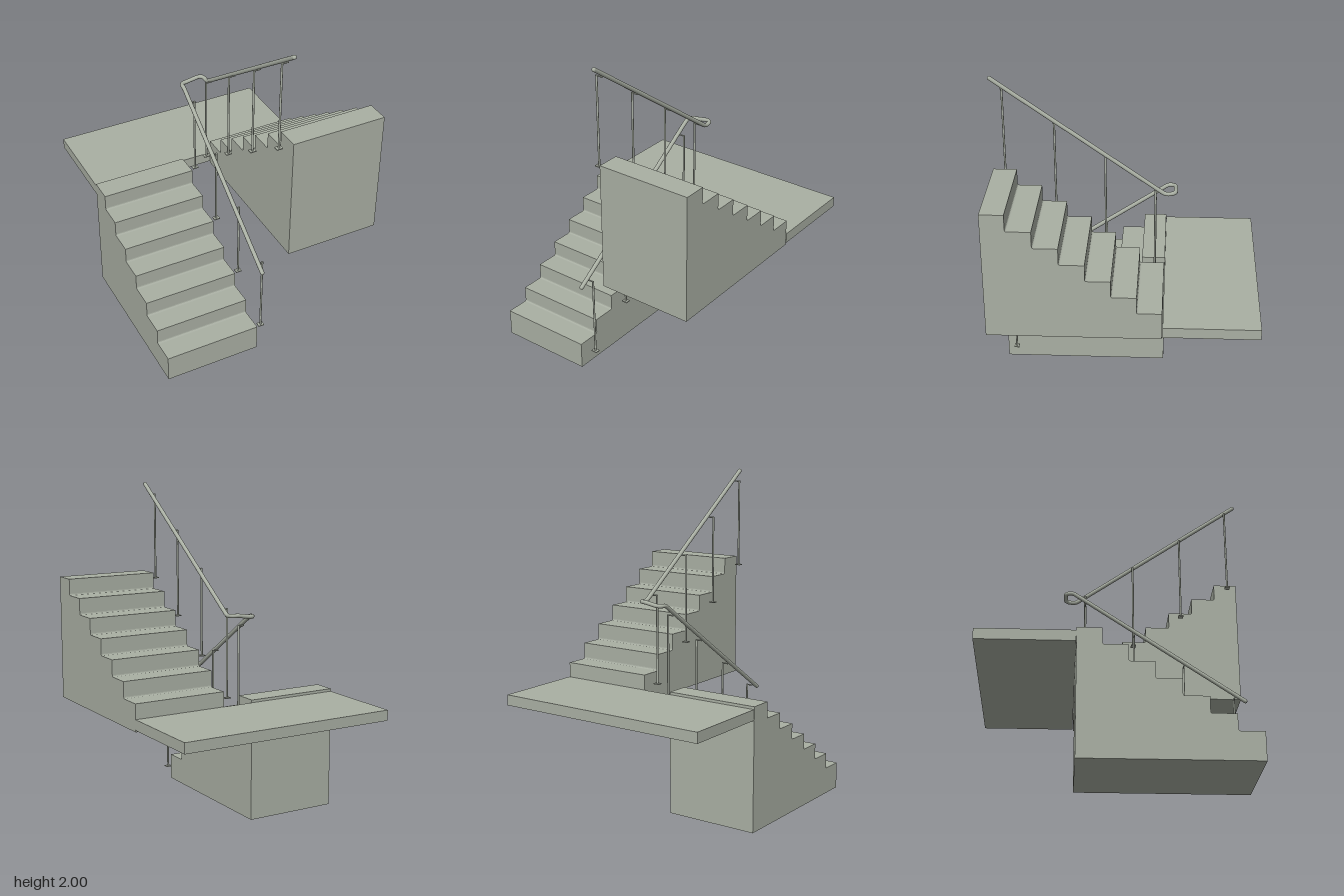
import * as THREE from 'three';

const concrete = new THREE.MeshStandardMaterial({ color: 0xa9afa3 });
concrete.name = 'concrete grey';

function add(parent, name, geometry, x = 0, y = 0, z = 0) {
  const mesh = new THREE.Mesh(geometry, concrete);
  mesh.name = name;
  mesh.position.set(x, y, z);
  parent.add(mesh);
  return mesh;
}

// Solid flight: stepped side profile (z, y) extruded across its width.
// dir is the z direction in which the flight climbs.
function flightGeometry({ zStart, zEnd, base, firstTop, rise, run, steps, dir, width }) {
  const cove = 0.01;
  const shape = new THREE.Shape();
  shape.moveTo(zStart, base);
  for (let i = 0; i < steps; i++) {
    const z = zStart + dir * run * i;
    const y = firstTop + rise * i;
    shape.lineTo(z, y);
    if (i < steps - 1) {
      // small cove where the tread meets the next riser
      const next = z + dir * run;
      shape.lineTo(next - dir * cove, y);
      shape.quadraticCurveTo(next, y, next, y + cove);
    }
  }
  shape.lineTo(zEnd, firstTop + rise * (steps - 1));
  shape.lineTo(zEnd, base);
  const geometry = new THREE.ExtrudeGeometry(shape, { depth: width, bevelEnabled: false, curveSegments: 3 });
  geometry.rotateY(-Math.PI / 2);
  return geometry;
}

// Baluster: foot plate, upright and a short arm reaching under the rail
function baluster(x, z, bottom, top, railX) {
  const post = new THREE.Group();
  post.name = 'baluster';
  add(post, 'footPlate', new THREE.BoxGeometry(0.037, 0.006, 0.03), x, bottom, z);
  add(post, 'upright', new THREE.CylinderGeometry(0.0062, 0.0062, top - bottom, 12), x, (top + bottom) / 2, z);
  const arm = new THREE.CylinderGeometry(0.0045, 0.0045, Math.abs(railX - x) + 0.006, 10);
  arm.rotateZ(Math.PI / 2);
  add(post, 'railArm', arm, (x + railX) / 2, top - 0.003, z);
  return post;
}

export function createModel() {
  const model = new THREE.Group();
  model.name = 'staircase';

  // Flights and landing
  add(model, 'lowerFlight', flightGeometry({
    zStart: 0.775, zEnd: -0.23, base: 0, firstTop: 0.165, rise: 0.0977,
    run: 0.144, steps: 7, dir: -1, width: 0.585,
  }), -0.098);
  add(model, 'upperFlight', flightGeometry({
    zStart: -0.227, zEnd: 0.777, base: 0.66, firstTop: 0.826, rise: 0.101,
    run: 0.1443, steps: 7, dir: 1, width: 0.585,
  }), 0.68);
  add(model, 'landing', new THREE.BoxGeometry(1.363, 0.064, 0.56), 0, 0.703, -0.511);

  // Continuous handrail, turning back on itself above the landing
  const v = (x, y, z) => new THREE.Vector3(x, y, z);
  const rx = 0.075, r = 0.0125;
  const start = v(-rx, 0.581, 0.775), end = v(rx, 1.986, 0.775);
  const path = new THREE.CurvePath();
  const line = (a, b) => path.add(new THREE.LineCurve3(a, b));
  const bend = (a, b, c) => path.add(new THREE.QuadraticBezierCurve3(a, b, c));
  line(start, v(-rx, 1.255, -0.225));
  bend(v(-rx, 1.255, -0.225), v(-rx, 1.268, -0.244), v(-rx, 1.268, -0.255));
  bend(v(-rx, 1.268, -0.255), v(-rx, 1.268, -0.29), v(-0.04, 1.27, -0.29));
  line(v(-0.04, 1.27, -0.29), v(0.04, 1.283, -0.29));
  bend(v(0.04, 1.283, -0.29), v(rx, 1.283, -0.29), v(rx, 1.28, -0.255));
  bend(v(rx, 1.28, -0.255), v(rx, 1.275, -0.235), v(rx, 1.287, -0.215));
  line(v(rx, 1.287, -0.215), end);
  const rail = new THREE.Group();
  rail.name = 'handrail';
  add(rail, 'railTube', new THREE.TubeGeometry(path, 220, r, 14, false));
  for (const p of [start, end]) add(rail, 'railEnd', new THREE.SphereGeometry(r, 14, 10), p.x, p.y, p.z);
  model.add(rail);

  // Balusters along both flights
  for (let i = 0; i < 4; i++) {
    model.add(baluster(-0.041, 0.712 - 0.294 * i, 0.11 + 0.199 * i, 0.603 + 0.199 * i, -rx));
    model.add(baluster(0.039, -0.17 + 0.295 * i, 0.77 + 0.206 * i, 1.309 + 0.206 * i, rx));
  }
  return model;
}
